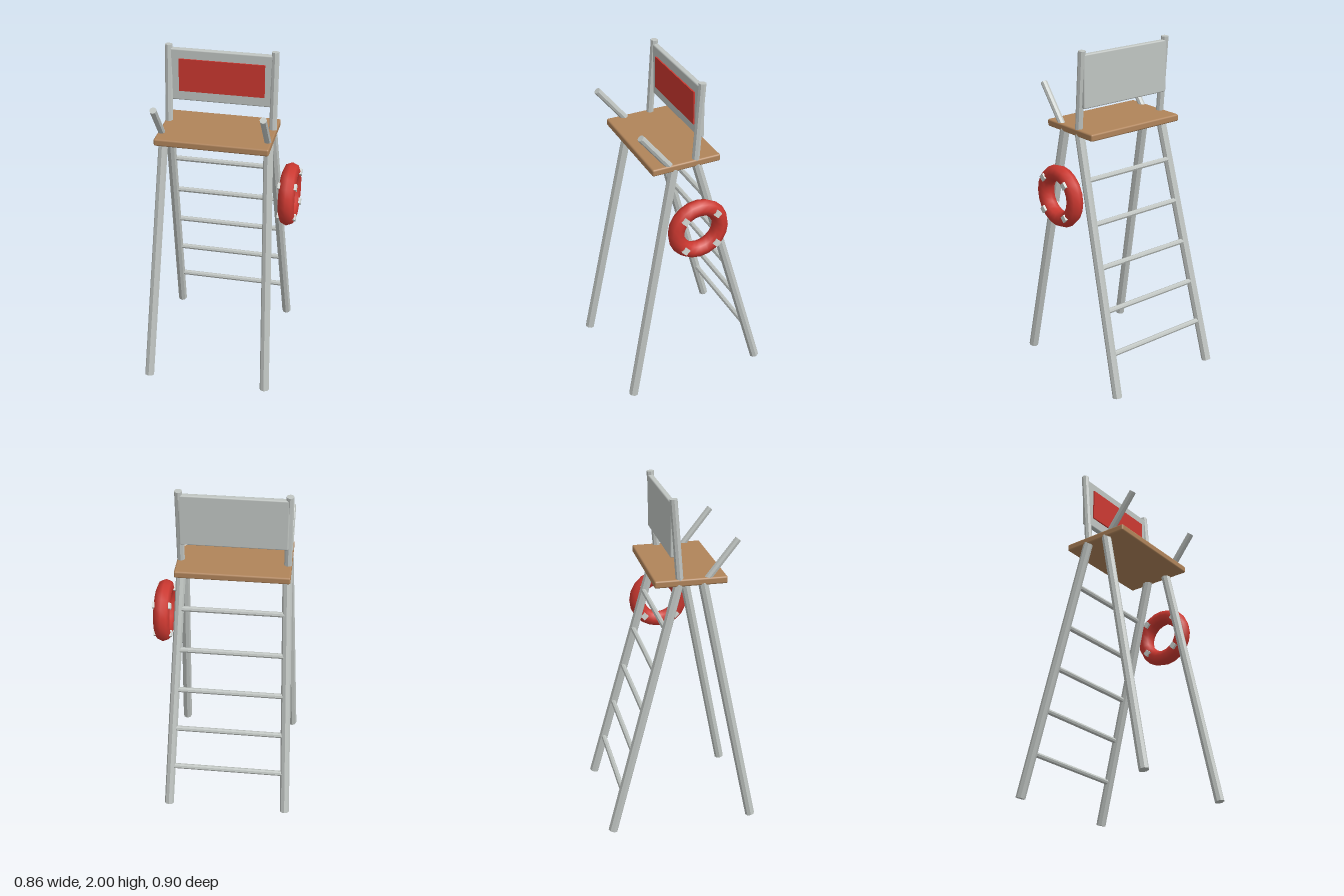
import * as THREE from 'three';
import { RoundedBoxGeometry } from 'three/addons/geometries/RoundedBoxGeometry.js';

const paint = (name, color) => Object.assign(new THREE.MeshStandardMaterial({ color }), { name });

export function createModel() {
  const model = new THREE.Group();
  model.name = 'lifeguardChair';
  const metal = paint('grey metal', 0xc0c5c2);
  const wood = paint('wood', 0xb0845a);
  const red = paint('red', 0xcc3830);
  const strap = paint('light grey strap', 0xd4d8d4);

  const add = (parent, name, geometry, material, x = 0, y = 0, z = 0) => {
    const mesh = new THREE.Mesh(geometry, material);
    mesh.name = name;
    mesh.position.set(x, y, z);
    parent.add(mesh);
    return mesh;
  };

  // Faceted round bar between two points
  const bar = (parent, name, a, b, radius) => {
    const from = new THREE.Vector3(...a), to = new THREE.Vector3(...b);
    const dir = to.clone().sub(from);
    const geometry = new THREE.CylinderGeometry(radius, radius, dir.length(), 8).toNonIndexed();
    geometry.computeVertexNormals();
    const mesh = add(parent, name, geometry, metal);
    mesh.position.copy(from).add(to).multiplyScalar(0.5);
    mesh.quaternion.setFromUnitVectors(new THREE.Vector3(0, 1, 0), dir.normalize());
    return mesh;
  };

  // The chair sits a little to one side so the life ring balances it
  const chair = new THREE.Group();
  chair.name = 'chair';
  chair.position.x = -0.045;
  model.add(chair);

  // Legs, back posts and arm bars, mirrored
  for (const [s, side] of [[1, 'left'], [-1, 'right']]) {
    bar(chair, side + 'FrontLeg', [s * 0.36, 0.007, 0.423], [s * 0.303, 1.515, 0.122], 0.028);
    bar(chair, side + 'BackLeg', [s * 0.36, 0.007, -0.423], [s * 0.303, 1.515, -0.015], 0.028);
    bar(chair, side + 'BackPost', [s * 0.305, 1.525, -0.01], [s * 0.305, 1.998, -0.046], 0.022);
    bar(chair, side + 'ArmBar', [s * 0.305, 1.525, 0.14], [s * 0.305, 1.751, 0.318], 0.02);
  }

  // Ladder rungs between the back legs
  for (let i = 0; i < 5; i++) {
    const y = 0.26 + i * 0.249, z = -0.357 + i * 0.066, half = 0.35 - i * 0.009;
    bar(chair, 'rung', [-half, y, z], [half, y, z], 0.016);
  }

  // Seat and backrest
  add(chair, 'seat', new RoundedBoxGeometry(0.655, 0.042, 0.415, 2, 0.01), wood, 0, 1.525, 0.052);
  add(chair, 'backrest', new RoundedBoxGeometry(0.61, 0.31, 0.034, 2, 0.008), metal, 0, 1.823, -0.046);
  add(chair, 'backrestPanel', new THREE.BoxGeometry(0.495, 0.195, 0.009), red, 0.003, 1.825, -0.0255);

  // Life ring hung beside the left legs
  const ring = new THREE.Group();
  ring.name = 'lifeRing';
  ring.position.set(0.373, 1.155, 0.025);
  ring.rotation.y = Math.PI / 2;
  model.add(ring);
  add(ring, 'ring', new THREE.TorusGeometry(0.138, 0.048, 8, 20), red);
  for (let i = 0; i < 4; i++) {
    const a = Math.PI / 4 + i * Math.PI / 2;
    const clip = add(ring, 'ringStrap', new THREE.BoxGeometry(0.035, 0.035, 0.11), strap,
      Math.cos(a) * 0.139, Math.sin(a) * 0.139, 0);
    clip.rotation.z = a;
  }
  return model;
}
